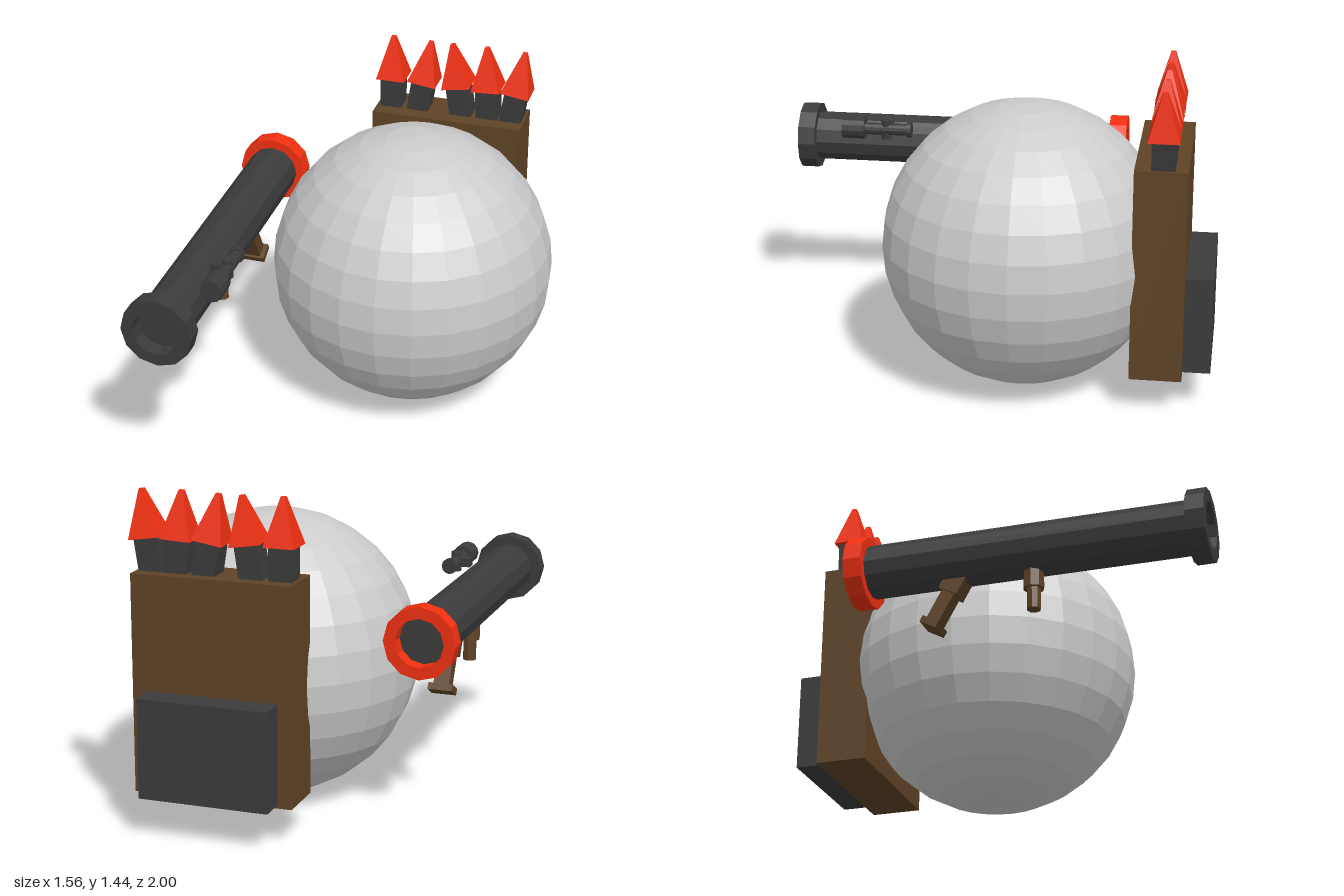
import * as THREE from 'three';

const mat = (color) => new THREE.MeshStandardMaterial({ color, flatShading: true });

export function createModel() {
  const model = new THREE.Group();
  const grey = mat(0xcccccc), dark = mat(0x3b3b3b), red = mat(0xf03010), brown = mat(0x5f4326);

  const add = (parent, name, geo, material, x = 0, y = 0, z = 0) => {
    const mesh = new THREE.Mesh(geo, material);
    mesh.name = name;
    mesh.position.set(x, y, z);
    parent.add(mesh);
    return mesh;
  };
  const group = (name, x, y, z) => {
    const g = new THREE.Group();
    g.name = name;
    g.position.set(x, y, z);
    model.add(g);
    return g;
  };
  const box = (w, h, d) => new THREE.BoxGeometry(w, h, d);
  // Cylinder lying along z, running from z0 to z1
  const barrel = (r, z0, z1, sides = 12) =>
    new THREE.CylinderGeometry(r, r, z1 - z0, sides).rotateX(Math.PI / 2).translate(0, 0, (z0 + z1) / 2);

  // Round body
  add(model, 'body', new THREE.SphereGeometry(0.63, 24, 16), grey, 0.145, 0.635, -0.165);

  // Backpack with a rear pocket
  add(model, 'backpack', box(0.7, 0.94, 0.225), brown, 0.16, 0.635, -0.7675);
  add(model, 'backpackPocket', box(0.57, 0.43, 0.13), dark, 0.155, 0.395, -0.935);

  // Rockets standing in the pack: [x at the head's base, lean]
  const headGeo = new THREE.CylinderGeometry(0.014, 0.095, 0.2, 4).rotateY(Math.PI / 4);
  [[-0.123, 0], [0.025, -0.15], [0.19, 0.16], [0.33, 0.05], [0.467, -0.15]].forEach(([x, lean], i) => {
    const rocket = group('rocket' + (i + 1), x + 0.17 * lean, 1.07, -0.775);
    rocket.rotation.z = lean;
    add(rocket, 'rocketShaft', box(0.1, 0.2, 0.1), dark, 0, 0.08, 0);
    add(rocket, 'rocketHead', headGeo, red, 0, 0.275, 0);
  });

  // Launcher tube with a hollow collar at each end
  const launcher = group('launcher', -0.625, 0.825, 0);
  add(launcher, 'launcherTube', barrel(0.115, -0.48, 0.93), dark);
  const collarGeo = new THREE.LatheGeometry(
    [[0.1, 0], [0.156, 0], [0.156, 0.08], [0.105, 0.08], [0.105, 0]].map(([r, y]) => new THREE.Vector2(r, y)), 12
  ).rotateX(Math.PI / 2);
  add(launcher, 'frontCollar', collarGeo, dark, 0, 0, 0.92);
  add(launcher, 'rearCollar', collarGeo, red, 0, 0, -0.47).rotation.y = Math.PI;

  // Sight beside the tube
  const sight = group('sight', -0.465, 0.92, 0);
  add(sight, 'sightLens', barrel(0.05, 0.67, 0.775), dark);
  add(sight, 'sightBody', barrel(0.028, 0.46, 0.68), dark);
  add(sight, 'sightEyepiece', barrel(0.036, 0.45, 0.47), dark);
  add(sight, 'sightKnob', new THREE.CylinderGeometry(0.024, 0.024, 0.09, 8), dark, 0, 0, 0.57);
  add(sight, 'sightMount', box(0.07, 0.04, 0.05), dark, -0.035, 0, 0.57);

  // Front grip: collar and peg
  add(launcher, 'frontGripCollar', new THREE.CylinderGeometry(0.045, 0.045, 0.08, 8), brown, 0, -0.14, 0.245);
  add(launcher, 'frontGrip', new THREE.CylinderGeometry(0.03, 0.03, 0.15, 8), brown, 0, -0.2, 0.245);

  // Rear grip: leaning post with a foot plate
  const rearGrip = group('rearGrip', -0.625, 0.74, -0.08);
  rearGrip.rotation.x = 0.5;
  add(rearGrip, 'gripCollar', box(0.09, 0.1, 0.09), brown, 0, -0.03, 0);
  add(rearGrip, 'gripPost', box(0.07, 0.24, 0.06), brown, 0, -0.11, 0);
  add(rearGrip, 'gripFoot', box(0.108, 0.03, 0.08), brown, 0, -0.235, 0);

  return model;
}
